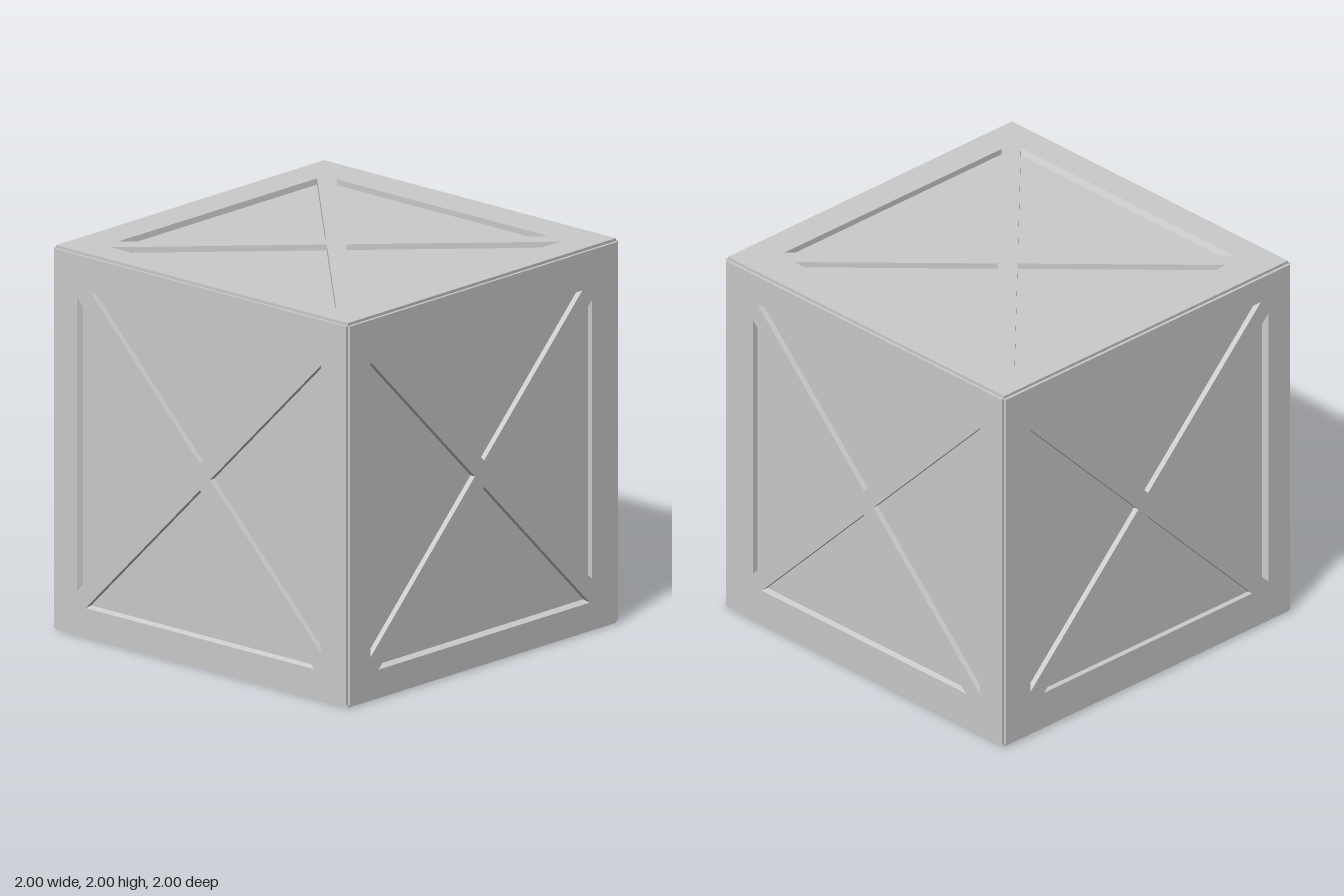
import * as THREE from 'three';

const material = new THREE.MeshStandardMaterial({ color: 0xcccccc, flatShading: true });
const NOTCH = 0.015;   // step along the cube edges
const DEPTH = 0.03;    // depth of the pockets
const BAR = 0.068;     // half width of the cross bars, measured along an axis

// Per face: distance from centre of the top, left, bottom and right pocket edges,
// then how far each outer pocket wall leans inward at its base.
const FACES = [
  { name: 'front', rot: [0, 0, 0], edge: [0.79, 0.835, 0.845, 0.795], lean: [0, 0.022, 0.015, 0] },
  { name: 'right', rot: [0, Math.PI / 2, 0], edge: [0.825, 0.79, 0.795, 0.83], lean: [0, 0, 0.008, 0.015] },
  { name: 'back', rot: [0, Math.PI, 0], edge: [0.85, 0.815, 0.79, 0.835], lean: [0.01, 0, 0, 0.015] },
  { name: 'left', rot: [0, -Math.PI / 2, 0], edge: [0.81, 0.832, 0.84, 0.818], lean: [0, 0.015, 0.01, 0] },
  { name: 'top', rot: [-Math.PI / 2, 0, 0], edge: [0.8, 0.83, 0.82, 0.785], lean: [0.005, 0.018, 0, 0] },
  { name: 'bottom', rot: [Math.PI / 2, 0, 0], edge: [0.82, 0.82, 0.8, 0.79], lean: [0, 0, 0, 0] },
];

// Triangle pointing at the centre; side 0..3 = top, left, bottom, right
function triangle(side, edge) {
  const half = edge - BAR;
  const centre = new THREE.Vector2(0, 0);
  return [[0, BAR], [half, edge], [-half, edge]].map(([x, y]) =>
    new THREE.Vector2(x, y).rotateAround(centre, side * Math.PI / 2));
}

// Wall joining two matching loops; faces outward when the loops run anticlockwise
function wall(loopA, zA, loopB, zB) {
  const pos = [];
  loopA.forEach((a, i) => {
    const j = (i + 1) % loopA.length;
    const a2 = loopA[j], b = loopB[i], b2 = loopB[j];
    pos.push(a.x, a.y, zA, b.x, b.y, zB, b2.x, b2.y, zB);
    pos.push(a.x, a.y, zA, b2.x, b2.y, zB, a2.x, a2.y, zA);
  });
  const geometry = new THREE.BufferGeometry();
  geometry.setAttribute('position', new THREE.Float32BufferAttribute(pos, 3));
  geometry.computeVertexNormals();
  return geometry;
}

function addMesh(parent, name, geometry, z = 0) {
  const mesh = new THREE.Mesh(geometry, material);
  mesh.name = name;
  mesh.position.z = z;
  parent.add(mesh);
}

function buildFace({ name, rot, edge, lean }) {
  const face = new THREE.Group();
  face.name = name + 'Face';
  face.rotation.set(...rot);

  const s = 1 - NOTCH;
  const square = [[-s, -s], [s, -s], [s, s], [-s, s]].map(([x, y]) => new THREE.Vector2(x, y));
  const frame = new THREE.Shape(square);

  // Four recessed triangular panels
  for (let side = 0; side < 4; side++) {
    const mouth = triangle(side, edge[side]);
    const base = triangle(side, edge[side] - lean[side]);
    frame.holes.push(new THREE.Path(mouth));
    addMesh(face, 'panel', new THREE.ShapeGeometry(new THREE.Shape(base)), 1 - DEPTH);
    addMesh(face, 'panelWall', wall([...mouth].reverse(), 1, [...base].reverse(), 1 - DEPTH));
  }

  // Frame with crossed bars, and the shallow step round its border
  addMesh(face, 'crossFrame', new THREE.ShapeGeometry(frame), 1);
  addMesh(face, 'frameBorder', wall(square, 1, square, s));
  return face;
}

export function createModel() {
  const crate = new THREE.Group();
  crate.name = 'crate';
  for (const spec of FACES) {
    const face = buildFace(spec);
    face.position.y = 1;
    crate.add(face);
  }
  return crate;
}
